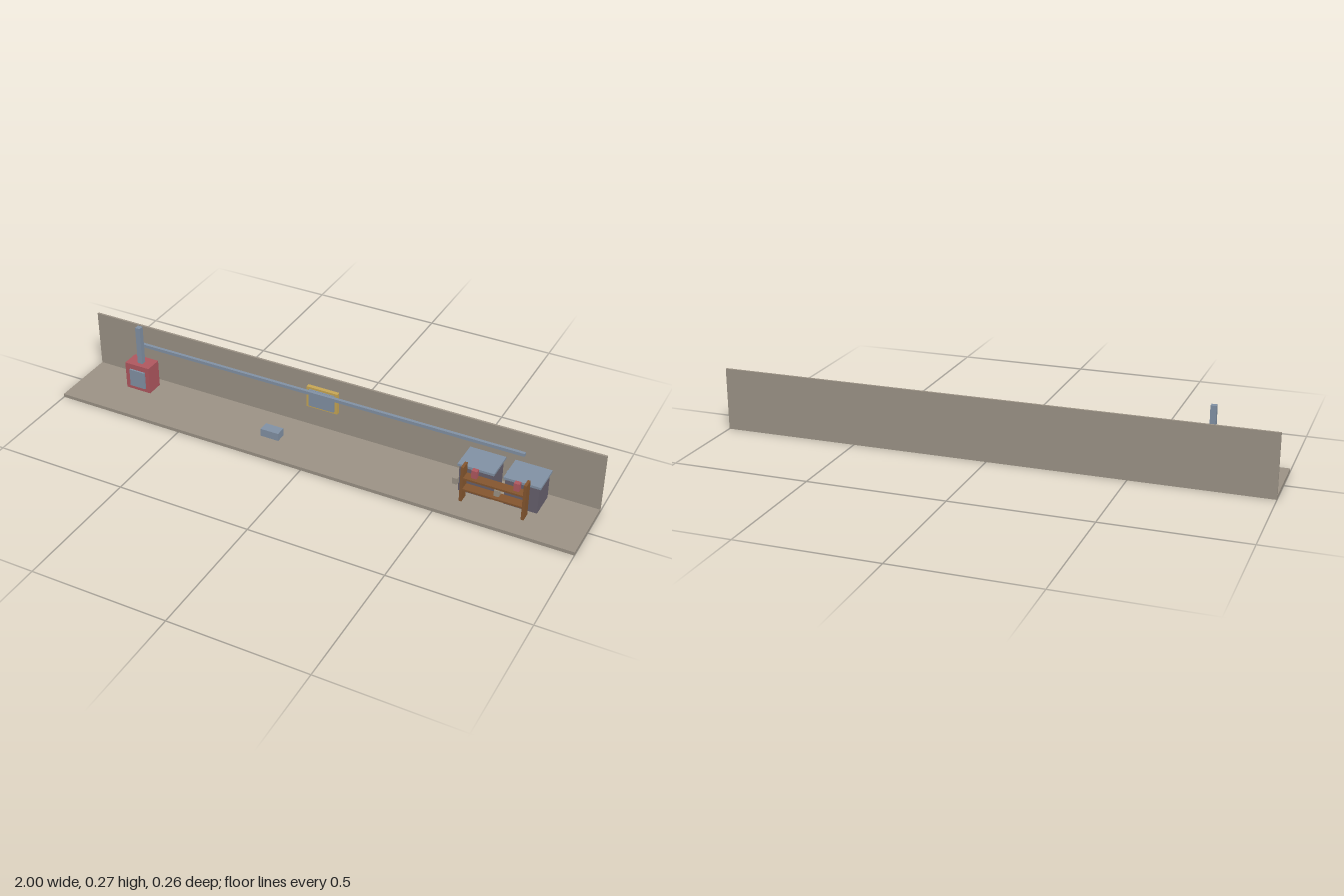
import * as THREE from 'three';

const mat = (name, color) => {
  const m = new THREE.MeshStandardMaterial({ color });
  m.name = name;
  return m;
};

export function createModel() {
  const stone = mat('stone', 0x9c9386);
  const steel = mat('steel blue', 0x8292a5);
  const red = mat('faded red', 0xb0585f);
  const wood = mat('brown wood', 0x85562f);
  const dark = mat('dark crate', 0x67616d);
  const yellow = mat('ochre', 0xc8a755);

  const model = new THREE.Group();
  model.name = 'workshop';

  // Box given by its extents along each axis
  const box = (name, material, [x0, x1], [y0, y1], [z0, z1], parent = model) => {
    const mesh = new THREE.Mesh(new THREE.BoxGeometry(x1 - x0, y1 - y0, z1 - z0), material);
    mesh.position.set((x0 + x1) / 2, (y0 + y1) / 2, (z0 + z1) / 2);
    mesh.name = name;
    parent.add(mesh);
  };
  const group = (name) => {
    const g = new THREE.Group();
    g.name = name;
    model.add(g);
    return g;
  };
  const ground = 0.013;

  // Floor and back wall
  box('floor', stone, [-1, 1], [0, ground], [-0.13, 0.13]);
  box('backWall', stone, [-1, 1], [ground, 0.23], [-0.13, -0.122]);

  // Stove with door and chimney
  const stove = group('stove');
  box('stoveBody', red, [-0.818, -0.716], [ground, 0.12], [-0.088, -0.022], stove);
  box('stoveDoor', steel, [-0.797, -0.733], [0.03, 0.099], [-0.022, -0.015], stove);
  box('chimney', steel, [-0.775, -0.755], [0.12, 0.271], [-0.061, -0.041], stove);

  // Long overhead pipe
  box('overheadPipe', steel, [-0.79, 0.737], [0.173, 0.185], [-0.085, -0.073]);

  // Framed panel on the wall
  const panel = group('wallPanel');
  box('panelFrame', yellow, [-0.1, 0.023], [0.098, 0.182], [-0.122, -0.107], panel);
  box('panelFace', steel, [-0.089, 0.012], [0.106, 0.174], [-0.107, -0.101], panel);

  // Loose block on the floor
  box('floorBlock', steel, [-0.215, -0.144], [ground, 0.043], [-0.013, 0.027]);

  // Two lidded crates, each with a bar on its left-hand side
  for (const x of [0.596, 0.761]) {
    const crate = group('crate');
    box('crateBody', dark, [x - 0.06, x + 0.06], [ground, 0.115], [-0.105, -0.004], crate);
    box('crateLid', steel, [x - 0.066, x + 0.066], [0.115, 0.124], [-0.111, 0], crate);
    box('crateBar', steel, [x - 0.075, x - 0.062], [ground, 0.107], [-0.067, -0.053], crate);
  }

  // Shelf rack: two uprights and two boards
  const rack = group('rack');
  for (const x of [0.567, 0.789])
    box('rackUpright', wood, [x - 0.005, x + 0.005], [ground, 0.153], [0.015, 0.051], rack);
  for (const y of [0.066, 0.111])
    box('rackShelf', wood, [0.572, 0.784], [y - 0.007, y], [0.015, 0.051], rack);

  // Small goods spaced along the rack
  for (const x of [0.605, 0.755])
    box('redJar', red, [x - 0.01, x + 0.01], [0.111, 0.141], [0.02, 0.038], rack);
  for (const x of [0.538, 0.688])
    box('smallBox', stone, [x - 0.009, x + 0.009], [0.066, 0.09], [0.02, 0.038], rack);

  return model;
}
